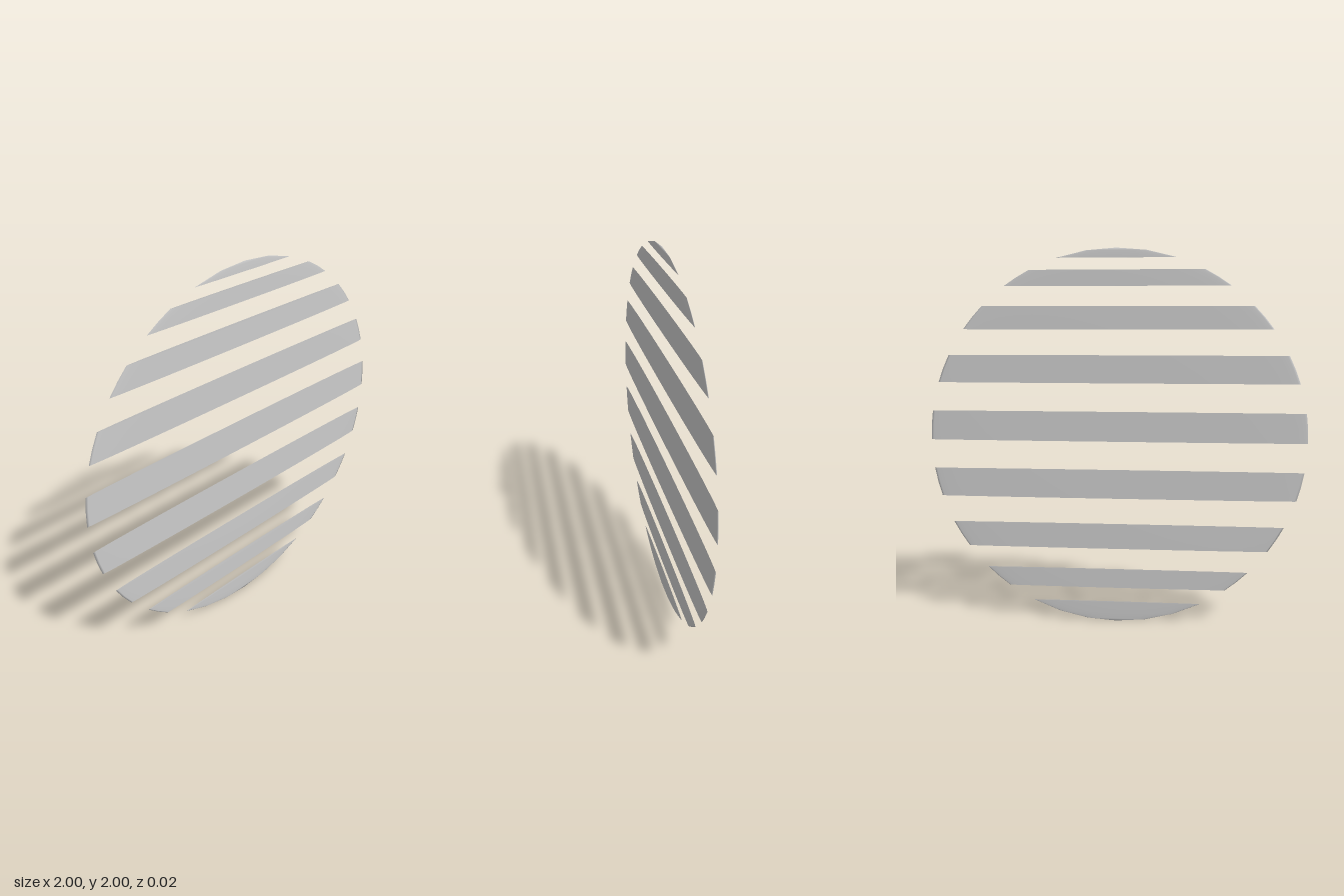
import * as THREE from 'three';

const STEP = Math.PI / 20; // 9 degree rings
const HALF_DEPTH = 0.0115;

export function createModel() {
  const model = new THREE.Group();
  model.name = 'stripedDisc';
  const material = new THREE.MeshStandardMaterial({ color: 0xcccccc, side: THREE.DoubleSide });

  // One open stripe of a flattened sphere, from one ring to another
  function addStripe(name, firstRing, ringCount) {
    const geometry = new THREE.SphereGeometry(
      1, 40, ringCount, 0, Math.PI * 2, firstRing * STEP, ringCount * STEP);
    geometry.scale(1, 1, HALF_DEPTH);
    geometry.translate(0, 1, 0);
    const stripe = new THREE.Mesh(geometry, material);
    stripe.name = name;
    model.add(stripe);
  }

  // Rounded caps at the poles
  addStripe('topCap', 0, 2);
  addStripe('bottomCap', 17, 3);

  // Straight stripes, every second ring between the caps
  for (let ring = 3, i = 1; ring <= 15; ring += 2, i++) addStripe(`stripe${i}`, ring, 1);

  return model;
}
